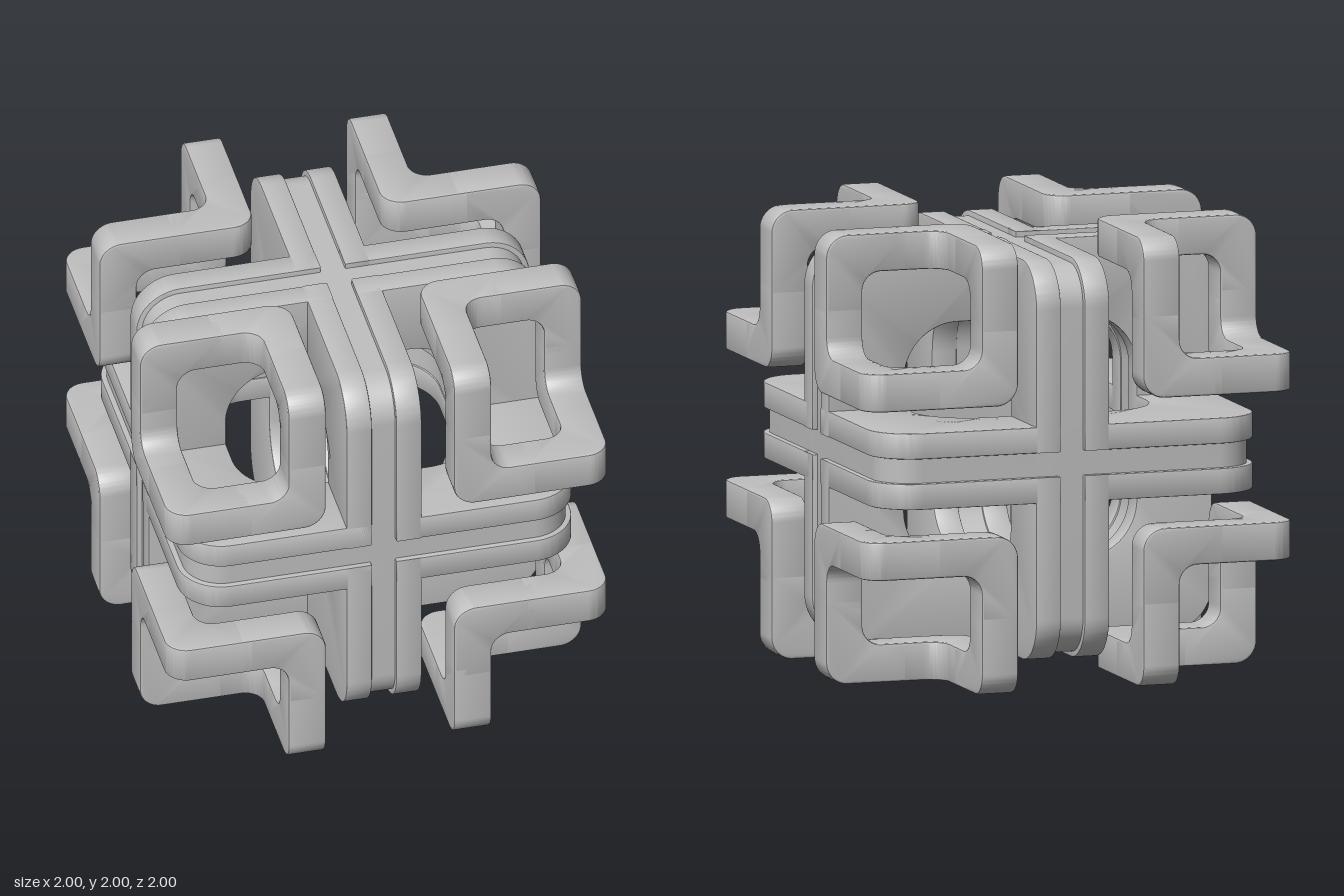
import * as THREE from 'three';
import { mergeGeometries, toCreasedNormals } from 'three/addons/utils/BufferGeometryUtils.js';

const smooth = (g) => toCreasedNormals(g, 0.5);

// Extrudes a shape to an exact depth, with slightly bevelled edges.
function extrude(shape, depth, bevel) {
  const g = new THREE.ExtrudeGeometry(shape, {
    depth: depth - 2 * bevel, curveSegments: 10, bevelEnabled: bevel > 0,
    bevelThickness: bevel, bevelSize: bevel, bevelOffset: -bevel, bevelSegments: 2,
  });
  return g.translate(0, 0, bevel);
}

// Elbow with its corner at the origin and arms along +x and +y.
function elbow(arm, width, outerR, innerR, depth, bevel) {
  const s = new THREE.Shape();
  s.moveTo(arm, 0);
  s.lineTo(arm, width);
  s.absarc(width + innerR, width + innerR, innerR, 1.5 * Math.PI, Math.PI, true);
  s.lineTo(width, arm);
  s.lineTo(0, arm);
  s.absarc(outerR, outerR, outerR, Math.PI, 1.5 * Math.PI, false);
  s.closePath();
  return extrude(s, depth, bevel);
}

// Traces a rounded square of half size h into a shape or hole path.
function roundedSquare(path, h, r) {
  for (let i = 0; i < 4; i++) {
    const a = (i * Math.PI) / 2;
    const cx = (i === 0 || i === 3 ? 1 : -1) * (h - r);
    const cy = (i < 2 ? 1 : -1) * (h - r);
    path.absarc(cx, cy, r, a, a + Math.PI / 2, false);
  }
  path.closePath();
  return path;
}

// Three copies, turned about the cube diagonal so x, y and z swap roles.
function aroundDiagonal(geometry) {
  const turn = new THREE.Matrix4().makeBasis(
    new THREE.Vector3(0, 1, 0), new THREE.Vector3(0, 0, 1), new THREE.Vector3(1, 0, 0));
  const copies = [geometry];
  for (let i = 0; i < 2; i++) copies.push(copies[i].clone().applyMatrix4(turn));
  return mergeGeometries(copies);
}

export function createModel() {
  const model = new THREE.Group();
  model.name = 'cubeLattice';
  const grey = new THREE.MeshStandardMaterial({ color: 0xbfbfbf });
  grey.name = 'grey';

  const body = new THREE.Group();
  body.name = 'body';
  body.position.y = 1;
  model.add(body);

  const addMesh = (geometry, name, parent) => {
    const mesh = new THREE.Mesh(geometry, grey);
    mesh.name = name;
    parent.add(mesh);
  };

  // Three crossing core rings form the floor of the grooves
  const ringShape = roundedSquare(new THREE.Shape(), 0.865, 0.175);
  ringShape.holes.push(roundedSquare(new THREE.Path(), 0.545, 0.245));
  const ring = extrude(ringShape, 0.32, 0).translate(0, 0, -0.16);
  addMesh(smooth(aroundDiagonal(ring)), 'coreRings', body);

  // Raised elbows on the rings, one set of three per octant
  const raised = elbow(0.835, 0.35, 0.2, 0.25, 0.115, 0.006)
    .rotateZ(Math.PI).translate(0.89, 0.89, 0.055);
  const raisedGeometry = smooth(aroundDiagonal(raised));

  // Six bends of a square bar make the folded hexagon of a corner
  const bend = () => elbow(0.375, 0.17, 0.1, 0.085, 0.17, 0.01);
  const outerBend = bend().translate(0.29, 0.29, 0.83);
  const innerBend = bend().rotateZ(Math.PI).translate(1, 1, 0.29);
  const cornerGeometry = smooth(aroundDiagonal(mergeGeometries([outerBend, innerBend])));

  // Eight octants: four turns about y, above and flipped below
  for (const half of ['upper', 'lower']) {
    for (let i = 0; i < 4; i++) {
      const octant = new THREE.Group();
      octant.name = `${half}Octant${i + 1}`;
      octant.rotation.order = 'YXZ';
      octant.rotation.set(half === 'lower' ? Math.PI : 0, (i * Math.PI) / 2, 0);
      addMesh(raisedGeometry, 'raisedBands', octant);
      addMesh(cornerGeometry, 'cornerLoop', octant);
      body.add(octant);
    }
  }
  return model;
}
